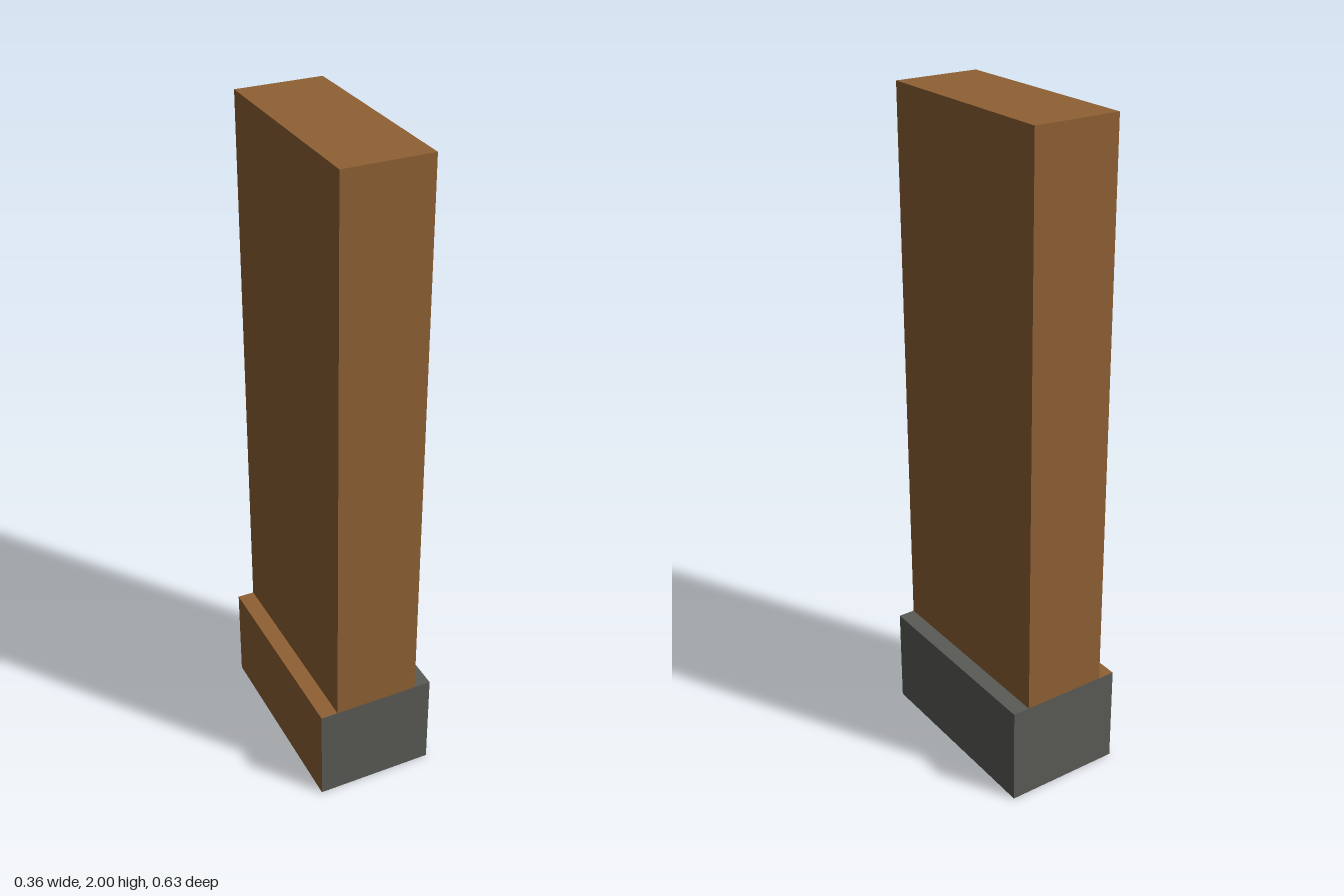
import * as THREE from 'three';

export function createModel() {
  const model = new THREE.Group();
  const wood = new THREE.MeshStandardMaterial({ color: 0x8f6134 });
  wood.name = 'brown wood';
  const stone = new THREE.MeshStandardMaterial({ color: 0x5a5b56 });
  stone.name = 'grey stone';

  const baseHeight = 0.306, depth = 0.635;

  // Base block: grey, with brown left-hand side, ledge and underside.
  // Two width segments let the top change colour beneath the column.
  const baseGeometry = new THREE.BoxGeometry(0.364, baseHeight, depth, 2, 1, 1);
  baseGeometry.clearGroups();
  [
    [6, 1],  // +x side
    [6, 0],  // -x side
    [6, 0],  // -x half of the top
    [6, 1],  // +x half of the top
    [12, 0], // underside
    [24, 1], // front and back
  ].reduce((start, [count, material]) => {
    baseGeometry.addGroup(start, count, material);
    return start + count;
  }, 0);
  const base = new THREE.Mesh(baseGeometry, [wood, stone]);
  base.name = 'base';
  base.position.y = baseHeight / 2;

  // Tall column, flush with the base at front and back
  const columnHeight = 2 - baseHeight;
  const column = new THREE.Mesh(new THREE.BoxGeometry(0.26, columnHeight, depth), wood);
  column.name = 'column';
  column.position.y = baseHeight + columnHeight / 2;

  model.add(base, column);
  return model;
}
